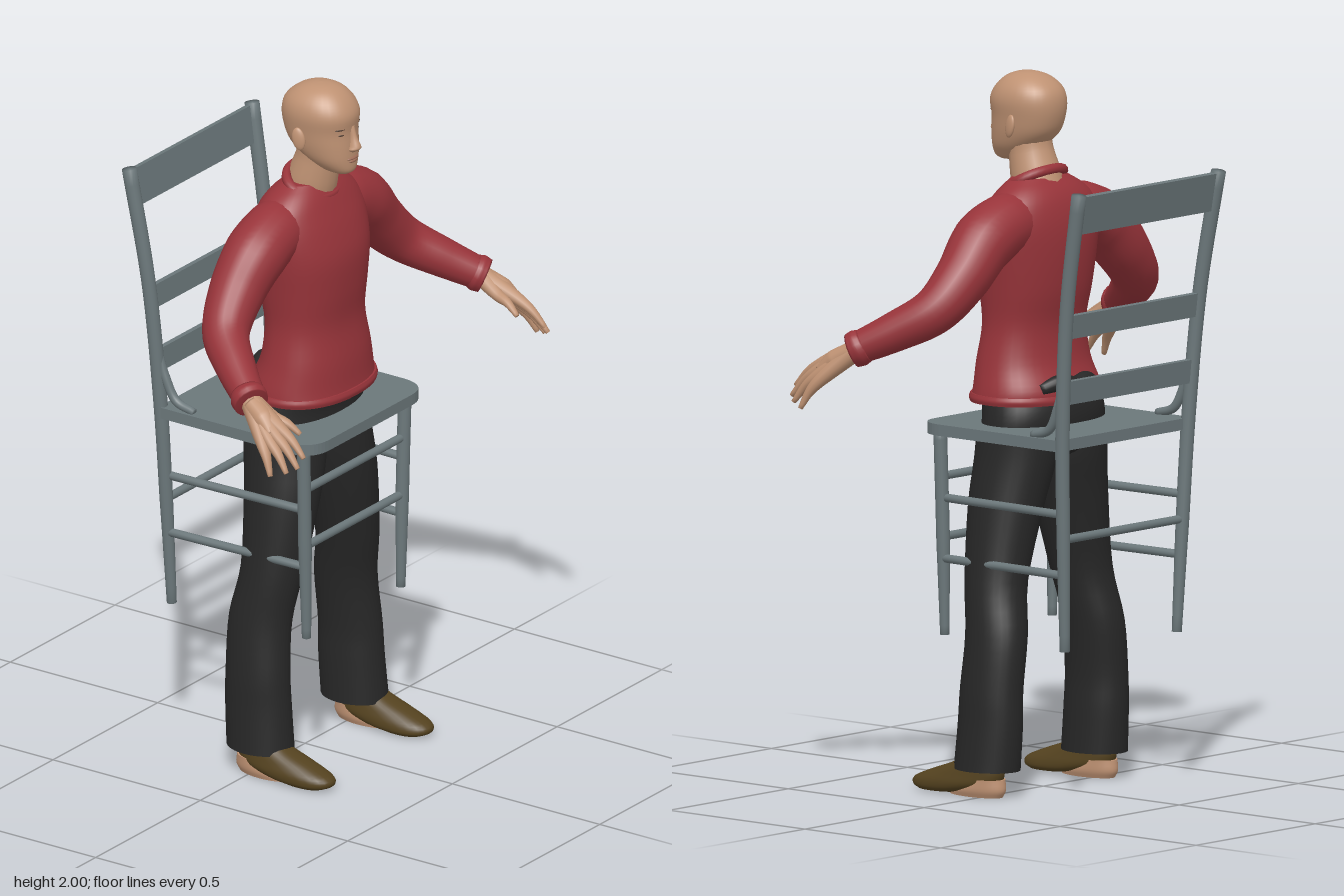
import * as THREE from 'three';
import { mergeVertices } from 'three/addons/utils/BufferGeometryUtils.js';

const mat = (name, color) => Object.assign(new THREE.MeshStandardMaterial({ color }), { name });
const V = (a) => new THREE.Vector3(a[0], a[1], a[2]);

// Skin over horizontal oval rings: [y, centreX, halfWidth, zBack, zFront]
function loft(rings, { n = 32, sub = 4, power = 2 } = {}) {
  const a = new THREE.CatmullRomCurve3(rings.map((r) => new THREE.Vector3(r[1], r[0], r[2])), false, 'catmullrom');
  const b = new THREE.CatmullRomCurve3(rings.map((r) => new THREE.Vector3(r[3], r[4], 0)), false, 'catmullrom');
  const steps = (rings.length - 1) * sub, pos = [], idx = [];
  const bend = (v) => Math.sign(v) * Math.abs(v) ** (2 / power);
  const ring = (i) => {
    const p = a.getPoint(i / steps), q = b.getPoint(i / steps);
    for (let j = 0; j < n; j++) {
      const t = (j / n) * Math.PI * 2;
      pos.push(p.x + Math.max(p.z, 0) * bend(Math.cos(t)), p.y, (q.x + q.y) / 2 + ((q.y - q.x) / 2) * bend(Math.sin(t)));
    }
    return [p.x, p.y, (q.x + q.y) / 2];
  };
  for (let i = 0; i <= steps; i++) ring(i);
  for (let i = 0; i < steps; i++) for (let j = 0; j < n; j++) {
    const k = (j + 1) % n, p = i * n, q = p + n;
    idx.push(p + j, q + j, p + k, p + k, q + j, q + k);
  }
  for (const end of [0, steps]) {
    const base = pos.length / 3;
    pos.push(...ring(end));
    for (let j = 0; j < n; j++) {
      const k = (j + 1) % n;
      idx.push(base + n, base + (end ? k : j), base + (end ? j : k));
    }
  }
  const g = new THREE.BufferGeometry();
  g.setAttribute('position', new THREE.Float32BufferAttribute(pos, 3));
  g.setIndex(idx);
  g.computeVertexNormals();
  return g;
}

// Round, closed tube of changing thickness through [x, y, z, radius]; side mirrors x
function limb(pts, side = 1, seg = 24, radial = 16) {
  const curve = new THREE.CatmullRomCurve3(pts.map((p) => V([p[0] * side, p[1], p[2]])));
  const g = new THREE.TubeGeometry(curve, seg, 1, radial);
  const pos = g.attributes.position, v = new THREE.Vector3();
  for (let i = 0; i <= seg; i++) {
    const from = curve.getPointAt(i / seg);
    const u = THREE.MathUtils.clamp((i - 1) / (seg - 2), 0, 1);
    const to = curve.getPointAt(u), t = curve.getUtoTmapping(u) * (pts.length - 1);
    const k = Math.min(Math.floor(t), pts.length - 2);
    const r = i === 0 || i === seg ? 0 : THREE.MathUtils.lerp(pts[k][3], pts[k + 1][3], t - k);
    for (let j = 0; j <= radial; j++) {
      const n = i * (radial + 1) + j;
      v.fromBufferAttribute(pos, n).sub(from).multiplyScalar(r).add(to);
      pos.setXYZ(n, v.x, v.y, v.z);
    }
  }
  g.deleteAttribute('uv');
  g.deleteAttribute('normal');
  const m = mergeVertices(g, 1e-5);
  m.computeVertexNormals();
  return m;
}

export function createModel() {
  const root = new THREE.Group(), chair = new THREE.Group(), person = new THREE.Group();
  root.name = 'personAndChair';
  chair.name = 'chair';
  person.name = 'person';
  root.add(chair, person);
  const grey = mat('greyPaint', 0x6b777a), red = mat('redKnit', 0x98343a), skin = mat('skin', 0xbf9273);
  const black = mat('blackCloth', 0x272727), brown = mat('brownLeather', 0x54421f);
  const dark = mat('darkBrow', 0x5b4436), lip = mat('lips', 0x9c6c58);
  const add = (parent, name, geo, material) => {
    const m = new THREE.Mesh(geo, material);
    m.name = name;
    parent.add(m);
    return m;
  };
  const blob = (name, material, p, s) => {
    const m = add(person, name, new THREE.SphereGeometry(1, 20, 14), material);
    m.position.set(...p);
    m.scale.set(...s);
    return m;
  };
  const rod = (name, a, b, r) => add(chair, name, limb([[...a, r], [...b, r]], 1, 6, 12), grey);

  // Seat with rounded front corners
  const s = new THREE.Shape();
  s.moveTo(-0.28, 0.3);
  s.lineTo(-0.28, -0.14);
  s.quadraticCurveTo(-0.275, -0.22, -0.2, -0.222);
  s.lineTo(0.2, -0.222);
  s.quadraticCurveTo(0.275, -0.22, 0.28, -0.14);
  s.lineTo(0.28, 0.3);
  const seat = new THREE.ExtrudeGeometry(s, { depth: 0.032, bevelEnabled: false, curveSegments: 10 });
  add(chair, 'seat', seat.rotateX(-Math.PI / 2).translate(0, 1.0, 0), grey);

  // Legs, posts, side stretchers and brackets
  for (const d of [1, -1]) {
    add(chair, 'backPost', limb([[0.235, 0.435, -0.285, 0.014], [0.25, 0.75, -0.293, 0.019], [0.265, 1.05, -0.303, 0.02],
      [0.28, 1.4, -0.332, 0.02], [0.293, 1.73, -0.388, 0.021]], d, 30), grey);
    add(chair, 'frontLeg', limb([[0.225, 0.435, 0.165, 0.013], [0.232, 0.7, 0.165, 0.019], [0.242, 1.01, 0.167, 0.019]], d), grey);
    for (const y of [0.82, 0.65]) rod('sideStretcher', [0.234 * d, y, 0.165], [0.248 * d, y, -0.292], 0.012);
    add(chair, 'bracket', limb([[0.268, 1.21, -0.31, 0.009], [0.265, 1.12, -0.285, 0.013], [0.262, 1.055, -0.25, 0.013],
      [0.262, 1.036, -0.19, 0.011]], d), grey);
  }
  for (const y of [0.88, 0.71]) rod('frontStretcher', [-0.232, y, 0.165], [0.232, y, 0.165], 0.012);
  rod('backStretcher', [-0.25, 0.75, -0.292], [0.25, 0.75, -0.292], 0.012);
  for (const [y, z, h, w, tilt] of [[1.672, -0.38, 0.108, 0.575, -0.16], [1.352, -0.328, 0.066, 0.55, -0.1], [1.165, -0.312, 0.066, 0.53, -0.07]]) {
    const slat = add(chair, 'backSlat', new THREE.BoxGeometry(w, h, 0.016), grey);
    slat.position.set(0, y, z);
    slat.rotation.x = tilt;
  }

  // Sweater body, hem and collar
  add(person, 'sweater', loft([[1.095, 0, 0.203, -0.12, 0.173], [1.13, 0, 0.198, -0.118, 0.168], [1.2, 0, 0.182, -0.088, 0.162],
    [1.3, 0, 0.167, -0.08, 0.147], [1.4, 0, 0.176, -0.1, 0.155], [1.5, 0, 0.19, -0.11, 0.157], [1.58, 0, 0.198, -0.108, 0.137],
    [1.64, 0, 0.185, -0.094, 0.112], [1.68, 0, 0.145, -0.072, 0.092], [1.71, 0, 0.095, -0.04, 0.07]], { n: 40, power: 2.25 }), red);
  add(person, 'hem', loft([[1.088, 0, 0.206, -0.124, 0.176], [1.1, 0, 0.209, -0.127, 0.179], [1.112, 0, 0.205, -0.123, 0.175]],
    { n: 40, power: 2.25 }), red);
  const collar = add(person, 'collar', new THREE.TorusGeometry(0.085, 0.014, 10, 36).scale(1.05, 0.83, 1).rotateX(Math.PI / 2), red);
  collar.position.set(0, 1.7, 0.025);
  collar.rotation.x = 0.5;

  // Neck and head
  add(person, 'neck', limb([[0, 1.64, 0.005, 0.075], [0, 1.72, 0.03, 0.07], [0, 1.78, 0.045, 0.062], [0, 1.85, 0.055, 0.06]]), skin);
  add(person, 'head', loft([[1.748, 0, 0.022, 0.095, 0.15], [1.76, 0, 0.042, 0.06, 0.164], [1.79, 0, 0.066, 0.012, 0.166],
    [1.83, 0, 0.08, -0.035, 0.165], [1.875, 0, 0.087, -0.054, 0.162], [1.92, 0, 0.092, -0.058, 0.166], [1.955, 0, 0.083, -0.046, 0.15],
    [1.982, 0, 0.06, -0.014, 0.122], [1.996, 0, 0.03, 0.022, 0.09], [2.0, 0, 0.001, 0.054, 0.056]], { power: 2.2 }), skin);
  add(person, 'nose', loft([[1.815, 0, 0.008, 0.15, 0.168], [1.825, 0, 0.02, 0.145, 0.184], [1.835, 0, 0.016, 0.145, 0.188],
    [1.86, 0, 0.01, 0.145, 0.176], [1.892, 0, 0.009, 0.14, 0.166]], { n: 16 }), skin);
  blob('upperLip', lip, [0, 1.798, 0.16], [0.026, 0.005, 0.011]);
  blob('lowerLip', lip, [0, 1.789, 0.159], [0.022, 0.006, 0.011]);

  for (const d of [1, -1]) {
    // Face pairs and ears
    blob('eye', dark, [0.035 * d, 1.873, 0.148], [0.015, 0.005, 0.007]).rotation.y = 0.35 * d;
    blob('brow', dark, [0.037 * d, 1.89, 0.149], [0.021, 0.004, 0.007]).rotation.y = 0.35 * d;
    const ear = blob('ear', skin, [0.091 * d, 1.855, 0.043], [0.009, 0.033, 0.019]);
    ear.rotation.set(-0.2, -0.3 * d, 0);

    // Sleeve and cuff
    add(person, 'sleeve', limb([[0.06, 1.6, 0, 0.075], [0.15, 1.592, 0.005, 0.087], [0.245, 1.552, 0.006, 0.089], [0.335, 1.465, 0.004, 0.078],
      [0.42, 1.38, 0.03, 0.066], [0.49, 1.32, 0.115, 0.056], [0.552, 1.268, 0.208, 0.045]], d, 40, 20), red);
    add(person, 'cuff', limb([[0.538, 1.281, 0.185, 0.047], [0.547, 1.273, 0.198, 0.053], [0.557, 1.264, 0.215, 0.049]], d, 10, 20), red);

    // Hand: palm is formed where the fingers meet at the wrist
    const wrist = [0.55, 1.268, 0.205, 0.03];
    const fingers = [
      ['thumb', [0.535, 1.228, 0.275], [0.518, 1.19, 0.352]],
      ['indexFinger', [0.568, 1.215, 0.322], [0.576, 1.15, 0.405]],
      ['middleFinger', [0.585, 1.2, 0.318], [0.598, 1.125, 0.4]],
      ['ringFinger', [0.6, 1.186, 0.308], [0.618, 1.112, 0.376]],
      ['littleFinger', [0.612, 1.174, 0.293], [0.637, 1.1, 0.335]],
    ];
    for (const [name, k, tip] of fingers) {
      const mid = k.map((v, i) => (v + tip[i]) / 2);
      mid[1] += 0.008;
      add(person, name, limb([wrist, [...k, 0.018], [...mid, 0.013], [...tip, 0.007]], d, 20, 10), skin);
    }
    add(person, 'palm', limb([[0.555, 1.26, 0.215, 0.03], [0.57, 1.232, 0.265, 0.032], [0.588, 1.2, 0.305, 0.018]], d), skin);

    // Trouser leg
    add(person, 'trouserLeg', loft([[0.075, 0.225, 0.08, -0.092, 0.11], [0.2, 0.222, 0.076, -0.1, 0.1], [0.3, 0.22, 0.074, -0.1, 0.094],
      [0.45, 0.203, 0.076, -0.1, 0.088], [0.6, 0.177, 0.083, -0.075, 0.11], [0.8, 0.135, 0.098, -0.092, 0.13],
      [0.93, 0.107, 0.105, -0.112, 0.13], [1.03, 0.102, 0.1, -0.122, 0.126]].map((r) => [r[0], r[1] * d, ...r.slice(2)])), black);

    // Shoe with a bare heel below
    add(person, 'shoe', loft([[0.004, 0.234, 0.045, 0.1, 0.24], [0.015, 0.234, 0.056, 0.03, 0.26], [0.035, 0.235, 0.058, -0.035, 0.254],
      [0.06, 0.235, 0.052, -0.052, 0.195], [0.09, 0.235, 0.045, -0.052, 0.11], [0.12, 0.235, 0.04, -0.05, 0.06]]
      .map((r) => [r[0], r[1] * d, ...r.slice(2)]), { power: 2.3 }), brown);
    add(person, 'heel', loft([[0, 0.235 * d, 0.042, -0.05, 0.13], [0.02, 0.235 * d, 0.048, -0.06, 0.12], [0.05, 0.235 * d, 0.045, -0.055, 0.06]]), skin);
  }

  // Trouser hips and the waistband showing behind the hem
  add(person, 'hips', loft([[0.925, 0, 0.07, -0.06, 0.07], [0.96, 0, 0.17, -0.11, 0.12], [1.0, 0, 0.204, -0.122, 0.128],
    [1.06, 0, 0.202, -0.128, 0.128], [1.13, 0, 0.185, -0.115, 0.145]], { n: 40, power: 2.2 }), black);
  add(person, 'waistband', limb([[-0.11, 1.13, -0.085, 0.018], [-0.05, 1.145, -0.11, 0.024], [0, 1.135, -0.116, 0.026],
    [0.05, 1.148, -0.11, 0.024], [0.11, 1.13, -0.085, 0.018]]), black);
  return root;
}
